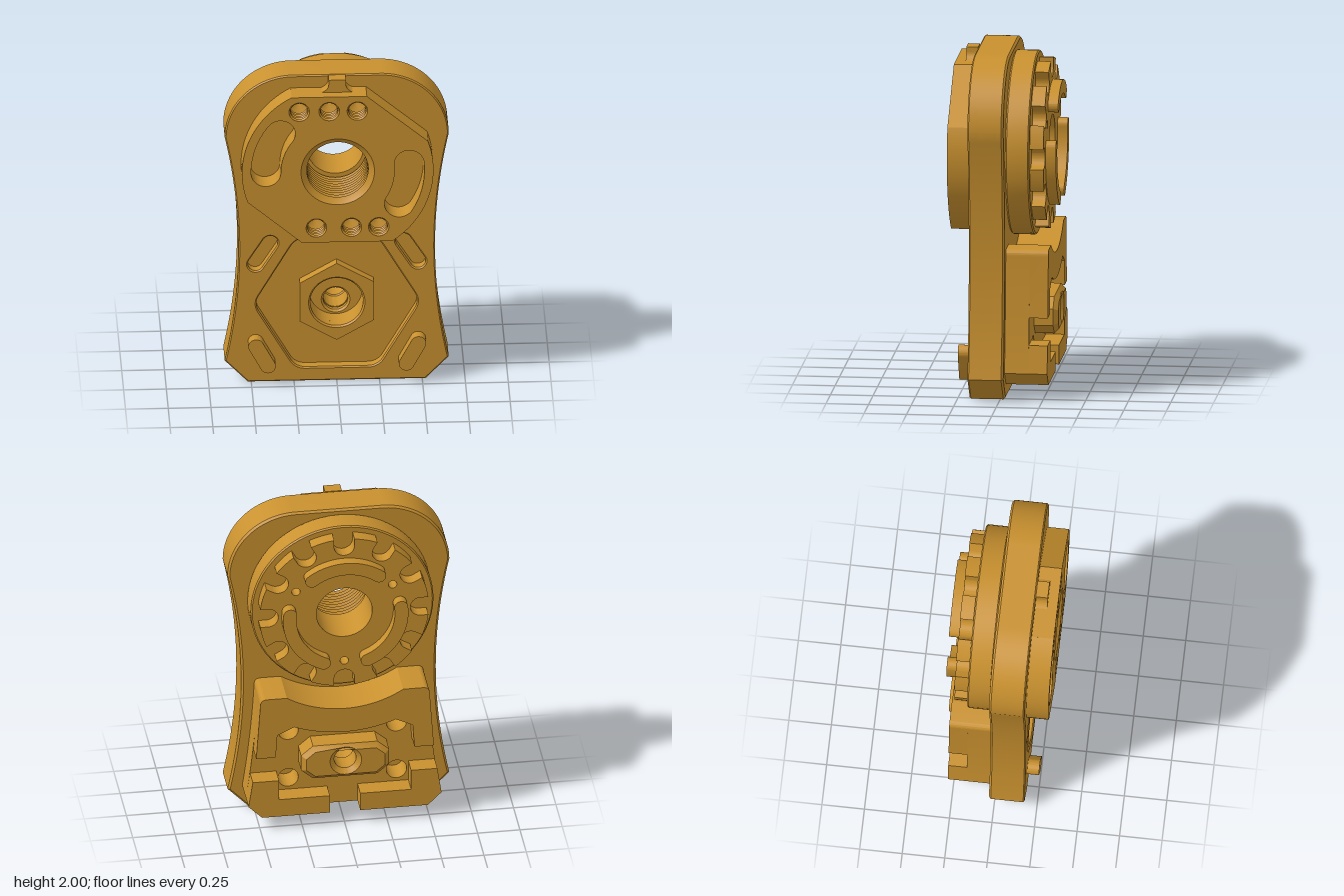
import * as THREE from 'three';
import { toCreasedNormals } from 'three/addons/utils/BufferGeometryUtils.js';

const PI = Math.PI, HUB = 1.43, BOLT = 0.45;
const rad = (d) => d * PI / 180;

// closed circular path
const disc = (x, y, r, C = THREE.Path) => new C().absarc(x, y, r, 0, PI * 2, false);

// straight slot between two points
function capsule(x0, y0, x1, y1, r, C = THREE.Path) {
  const a = Math.atan2(y1 - y0, x1 - x0);
  const p = new C().absarc(x1, y1, r, a - PI / 2, a + PI / 2, false);
  p.absarc(x0, y0, r, a + PI / 2, a + PI * 1.5, false);
  p.closePath();
  return p;
}

// curved slot around the hub
function arcSlot(R, r, a0, a1, C = THREE.Path) {
  const p = new C().absarc(0, HUB, R + r, a0, a1, false);
  p.absarc(R * Math.cos(a1), HUB + R * Math.sin(a1), r, a1, a1 + PI, false);
  p.absarc(0, HUB, R - r, a1, a0, true);
  p.absarc(R * Math.cos(a0), HUB + R * Math.sin(a0), r, a0 + PI, a0 + PI * 2, false);
  p.closePath();
  return p;
}

// polygon, with corners rounded by r
function poly(pts, r = 0, C = THREE.Path) {
  const p = new C();
  pts.forEach(([x, y], i) => {
    const c = new THREE.Vector2(x, y);
    const toward = (q) => new THREE.Vector2(...q).sub(c).setLength(r).add(c);
    const a = toward(pts[(i + pts.length - 1) % pts.length]);
    const b = toward(pts[(i + 1) % pts.length]);
    if (i) p.lineTo(a.x, a.y); else p.moveTo(a.x, a.y);
    if (r) p.quadraticCurveTo(x, y, b.x, b.y);
  });
  p.closePath();
  return p;
}

function bodyOutline() {
  const s = new THREE.Shape();
  s.moveTo(-0.52, 0).lineTo(0.52, 0).lineTo(0.655, 0.14);
  s.quadraticCurveTo(0.495, 0.87, 0.655, 1.6);
  s.absarc(0.255, 1.6, 0.4, 0, PI / 2, false);
  s.absarc(-0.255, 1.6, 0.4, PI / 2, PI, false);
  s.quadraticCurveTo(-0.495, 0.87, -0.655, 0.14);
  s.closePath();
  return s;
}

function bossOutline() {
  const ang = (x, y) => Math.atan2(y - HUB, x);
  const s = new THREE.Shape();
  s.moveTo(-0.21, 0.97).lineTo(0.32, 0.97);
  s.absarc(0, HUB, 0.56, ang(0.32, 0.97), ang(0.53, 1.62), false);
  s.lineTo(0.17, 1.92).lineTo(-0.27, 1.92);
  s.absarc(0, HUB, 0.56, ang(-0.27, 1.92), ang(-0.53, 1.24) + PI * 2, false);
  s.closePath();
  return s;
}

// ring with twelve round-bottomed notches
function notchedOutline() {
  const s = new THREE.Shape(), d = Math.asin(0.06 / 0.5);
  for (let k = 0; k < 12; k++) {
    const a = k * PI / 6;
    s.absarc(0.45 * Math.cos(a), HUB + 0.45 * Math.sin(a), 0.06, a - PI / 2, a - PI * 1.5, true);
    s.absarc(0, HUB, 0.5, a + d, a + PI / 6 - d, false);
  }
  s.closePath();
  return s;
}

// mounting block with a scooped top edge
function blockOutline() {
  const s = new THREE.Shape(), e = Math.asin(0.54 / 0.64);
  s.moveTo(-0.49, 0.085).lineTo(0.49, 0.085).lineTo(0.57, 0.165);
  s.quadraticCurveTo(0.518, 0.5, 0.5, 0.85);
  s.quadraticCurveTo(0.5, 0.89, 0.46, 0.89);
  s.absarc(0, HUB, 0.64, -e, e - PI, true);
  s.lineTo(-0.46, 0.89).quadraticCurveTo(-0.5, 0.89, -0.5, 0.85);
  s.quadraticCurveTo(-0.518, 0.5, -0.57, 0.165);
  s.closePath();
  return s;
}

function upperFrameOutline() {
  const s = new THREE.Shape(), e = Math.asin(0.54 / 0.64), i = Math.acos(0.3 / 0.8);
  s.moveTo(0.525, 0.49).lineTo(0.5, 0.85).quadraticCurveTo(0.5, 0.89, 0.46, 0.89);
  s.absarc(0, HUB, 0.64, -e, e - PI, true);
  s.lineTo(-0.46, 0.89).quadraticCurveTo(-0.5, 0.89, -0.5, 0.85);
  s.lineTo(-0.525, 0.49).lineTo(-0.41, 0.49).lineTo(-0.4, 0.64);
  s.absarc(0, HUB, 0.8, i - PI, -i, false);
  s.lineTo(0.4, 0.64).lineTo(0.41, 0.49);
  s.closePath();
  return s;
}

export function createModel() {
  const model = new THREE.Group();
  const ochre = new THREE.MeshStandardMaterial({ color: 0xc9912f, side: THREE.DoubleSide });
  ochre.name = 'ochre';

  const add = (name, geo) => {
    const m = new THREE.Mesh(toCreasedNormals(geo, 0.5), ochre);
    m.name = name;
    model.add(m);
    return m;
  };
  // extrusion from z0 to z1 with holes and an inward bevel
  const slab = (name, shape, z0, z1, holes = [], b = 0) => {
    shape.holes.push(...holes);
    const g = new THREE.ExtrudeGeometry(shape, {
      depth: z1 - z0 - 2 * b, curveSegments: 32, bevelEnabled: b > 0,
      bevelSize: b, bevelThickness: b, bevelOffset: -b, bevelSegments: 1,
    });
    return add(name, g.translate(0, 0, z0 + b));
  };
  // lathe around the z axis; profile points are [radius, z]
  const turned = (name, profile, x, y, n = 48) => {
    const g = new THREE.LatheGeometry(profile.map(([r, z]) => new THREE.Vector2(r, z)), n);
    return add(name, g.rotateX(PI / 2).translate(x, y, 0));
  };
  const thread = (rOut, rIn, z0, z1, n) => {
    const pts = [], h = (z1 - z0) / n;
    for (let i = 0; i < n; i++) pts.push([rOut, z0 + i * h], [rIn, z0 + (i + 0.5) * h]);
    return pts;
  };

  // main plate in three layers: back, core, and front with pocket and slots
  const bore = () => disc(0, HUB, 0.215);
  const pocket = poly([[-0.24, 0.09], [0.24, 0.09], [0.485, 0.51], [0.24, 0.93], [-0.24, 0.93], [-0.485, 0.51]], 0.06);
  const sideSlots = [1, -1].map((s) => capsule(s * 0.475, 0.77, s * 0.39, 0.905, 0.045));
  slab('plateBack', bodyOutline(), -0.03, 0.02, [bore(), disc(0, BOLT, 0.072)], 0.012);
  slab('plateCore', bodyOutline(), -0.018, 0.12, [bore(), disc(0, 0.51, 0.155)]);
  slab('plateFront', bodyOutline(), 0.1, 0.18, [bore(), pocket, ...sideSlots], 0.008);

  // hexagonal seat in the pocket
  const hex = [0, 1, 2, 3, 4, 5].map((k) => [0.25 * Math.cos(rad(30 + 60 * k)), 0.515 + 0.25 * Math.sin(rad(30 + 60 * k))]);
  slab('hexSeat', poly(hex, 0, THREE.Shape), 0.12, 0.18, [disc(0, 0.51, 0.165)]);
  turned('hexSeatBore', [[0.165, 0.18], [0.155, 0.17], [0.155, 0.1]], 0, 0.51);

  // raised feet at the lower corners
  for (const s of [1, -1])
    slab('cornerFoot', capsule(s * 0.475, 0.265, s * 0.405, 0.135, 0.045, THREE.Shape), 0.18, 0.25);

  // upper front boss with curved slots and threaded blind holes
  const blind = [[-0.225, 1.825], [-0.05, 1.825], [0.115, 1.825], [-0.125, 1.065], [0.08, 1.065], [0.24, 1.065]];
  slab('frontBoss', bossOutline(), 0.18, 0.31, [
    bore(), arcSlot(0.42, 0.087, rad(143), rad(180)), arcSlot(0.42, 0.087, rad(-31), rad(6)),
    ...blind.map(([x, y]) => disc(x, y, 0.06)),
  ]);
  for (const [x, y] of blind)
    turned('threadedHole', [[0, 0.181], ...thread(0.06, 0.051, 0.21, 0.31, 5), [0.06, 0.31]], x, y, 24);

  // flared key above the boss
  const key = new THREE.Shape();
  key.moveTo(-0.09, 1.92).lineTo(0.09, 1.92).quadraticCurveTo(0.05, 1.94, 0.05, 1.97);
  key.lineTo(0.05, 2).lineTo(-0.05, 2).lineTo(-0.05, 1.97).quadraticCurveTo(-0.05, 1.94, -0.09, 1.92);
  slab('topKey', key, 0.18, 0.25);

  // threaded main bore lining
  turned('mainBore', [[0.165, -0.25], [0.165, 0], [0.2, 0], ...thread(0.2, 0.18, 0.01, 0.295, 10), [0.2, 0.295], [0.215, 0.31]], 0, HUB, 64);

  // rear disc, notched ring and raised arcs
  slab('rearDisc', disc(0, HUB, 0.54, THREE.Shape), -0.17, -0.03, [bore()], 0.008);
  const screws = [-90, 30, 150].map((d) => disc(0.33 * Math.cos(rad(d)), HUB + 0.33 * Math.sin(rad(d)), 0.025));
  slab('notchedRing', notchedOutline(), -0.25, -0.17, [disc(0, HUB, 0.165), ...screws]);
  for (const d of [90, -30, -150])
    slab('raisedArc', arcSlot(0.33, 0.04, rad(d - 37), rad(d + 37), THREE.Shape), -0.31, -0.25);

  // rear mounting block with corner holes
  const corners = [];
  for (const x of [-0.32, 0.32]) for (const y of [0.28, 0.6]) corners.push(disc(x, y, 0.06));
  slab('blockBase', blockOutline(), -0.17, -0.03, [disc(0, BOLT, 0.072), ...corners]);
  slab('upperFrame', upperFrameOutline(), -0.28, -0.17);
  for (const s of [1, -1]) {
    const pts = [[0.09, 0.085], [0.49, 0.085], [0.57, 0.165], [0.545, 0.33], [0.39, 0.33], [0.39, 0.2], [0.09, 0.2]];
    slab('lowerFrame', poly(pts.map(([x, y]) => [s * x, y]), 0, THREE.Shape), -0.28, -0.17);
  }

  // chamfered locating lug with bolt hole
  const lug = [[-0.19, 0.33], [0.19, 0.33], [0.26, 0.39], [0.26, 0.49], [0.19, 0.55], [-0.19, 0.55], [-0.26, 0.49], [-0.26, 0.39]];
  slab('locatingLug', poly(lug, 0, THREE.Shape), -0.31, -0.14, [disc(0, BOLT, 0.065)], 0.028);

  return model;
}
